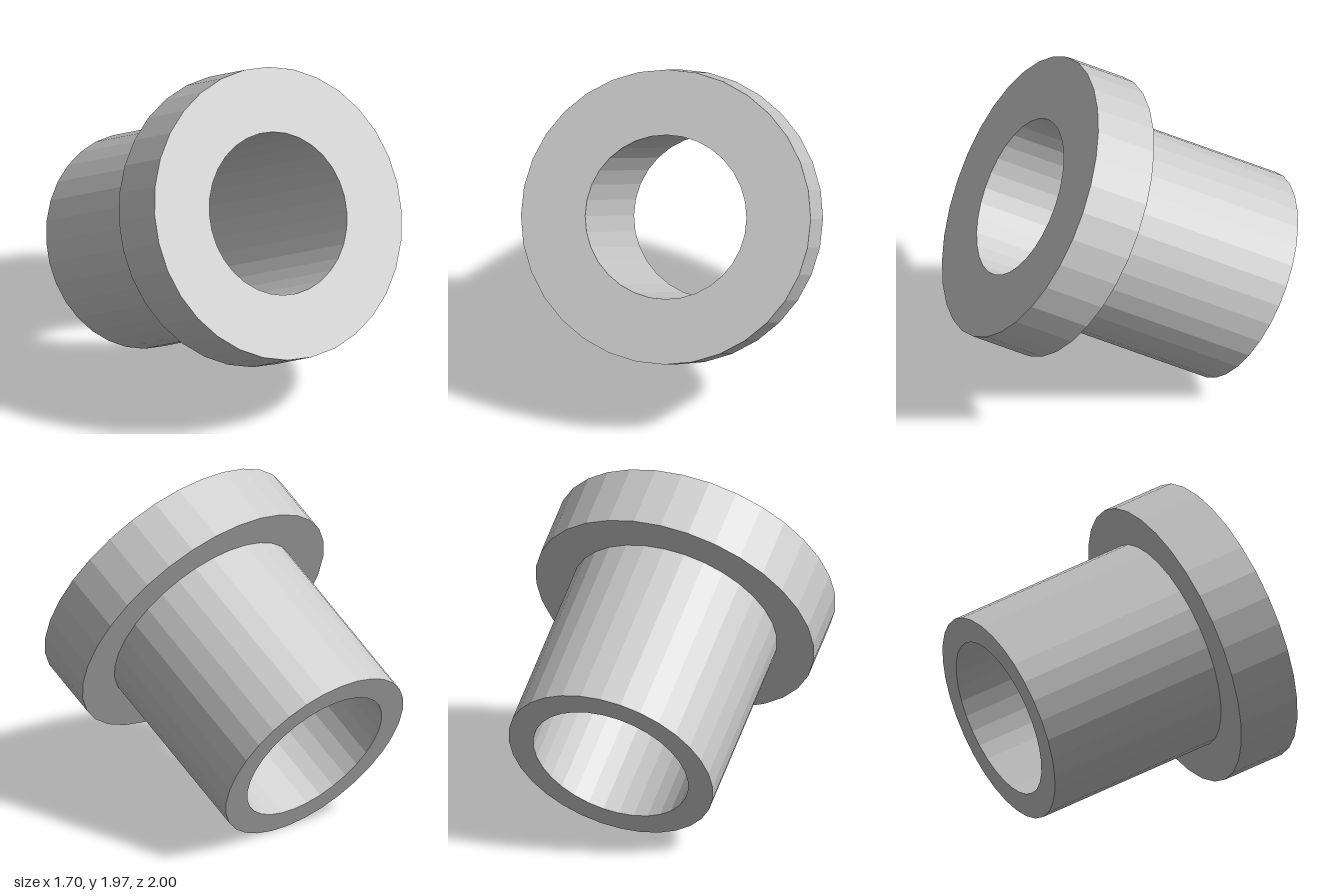
import * as THREE from 'three';

export function createModel() {
  const group = new THREE.Group();
  group.name = 'flangedBushing';

  const sides = 32;
  const bore = 0.462, tube = 0.61, flange = 0.83;
  const length = 1.463, thickness = 0.37;

  // Closed half section: sleeve with a thick collar at the top, bored through
  const profile = [
    [bore, -length], [tube, -length], [tube, -thickness], [flange, -thickness],
    [flange, 0], [bore, 0], [bore, -length],
  ].map(([r, y]) => new THREE.Vector2(r, y));

  const geometry = new THREE.LatheGeometry(profile, sides).toNonIndexed();
  geometry.computeVertexNormals();

  const bushing = new THREE.Mesh(
    geometry,
    new THREE.MeshStandardMaterial({ color: 0xcccccc, flatShading: true })
  );
  bushing.name = 'flangedSleeve';

  // Collar faces forward and up, turned slightly to the left
  bushing.rotation.set(THREE.MathUtils.degToRad(60), 0, THREE.MathUtils.degToRad(-10));
  bushing.position.set(0.033, 1.253, 0.567);
  group.add(bushing);

  return group;
}
